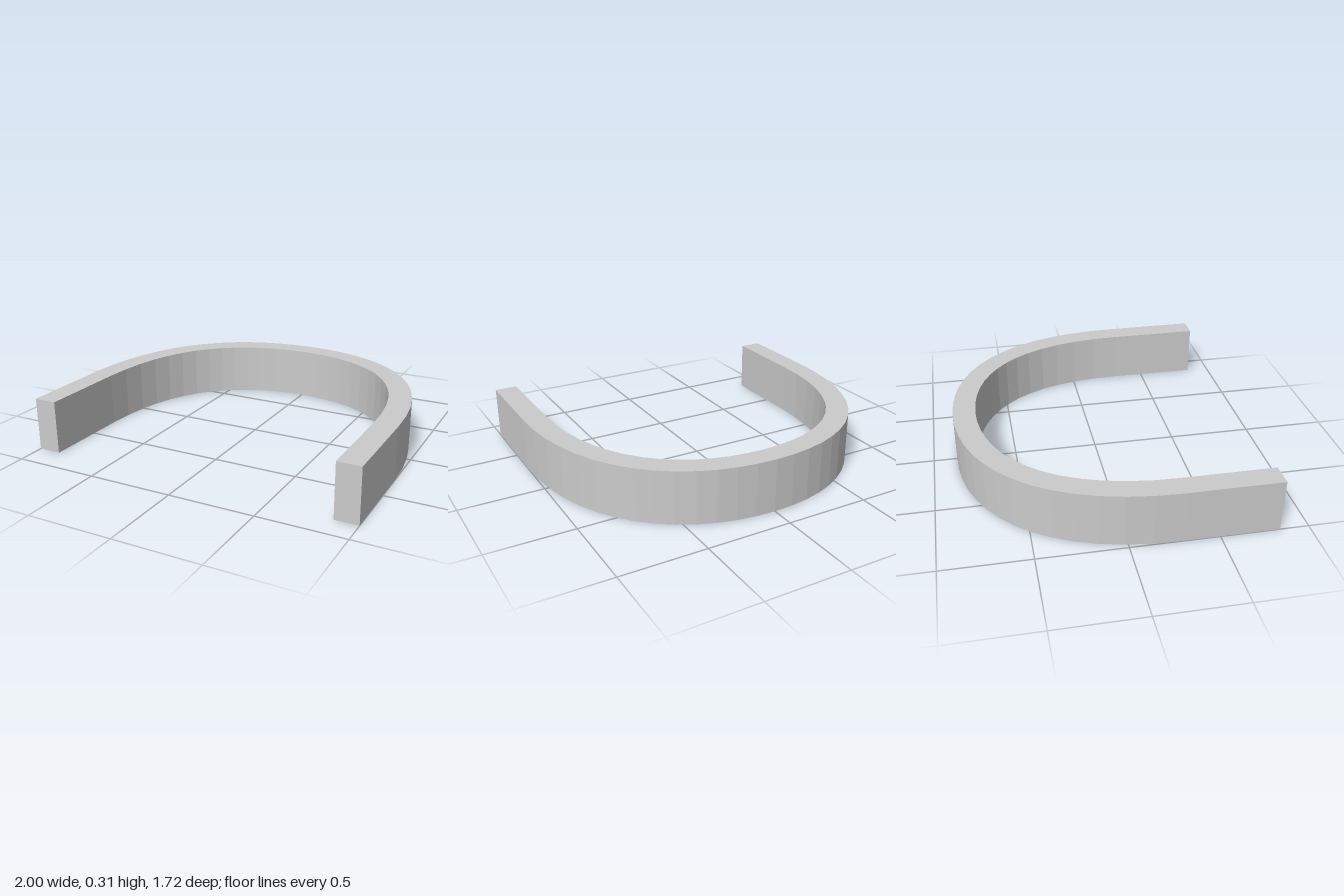
import * as THREE from 'three';

const HEIGHT = 0.315, WIDTH = 0.135, SEGMENTS = 14;
const LEFT_END = 0.855, RIGHT_END = 0.835;

export function createModel() {
  const group = new THREE.Group();
  group.name = 'archBand';

  // One half of the outer curve, from the straight leg to the crown (plan: x, -z)
  const half = new THREE.CubicBezierCurve(
    new THREE.Vector2(-1, -0.3), new THREE.Vector2(-1, 0.5),
    new THREE.Vector2(-0.55, 0.86), new THREE.Vector2(0, 0.86));

  const outer = [new THREE.Vector2(-1, -RIGHT_END)];
  const inner = [new THREE.Vector2(-1 + WIDTH, -RIGHT_END)];
  const addPair = (t, side) => {
    const p = half.getPoint(t), d = half.getTangent(t);
    outer.push(new THREE.Vector2(p.x * side, p.y));
    inner.push(new THREE.Vector2((p.x + d.y * WIDTH) * side, p.y - d.x * WIDTH));
  };
  for (let i = 0; i <= SEGMENTS; i++) addPair(i / SEGMENTS, 1);
  for (let i = SEGMENTS - 1; i >= 0; i--) addPair(i / SEGMENTS, -1);
  outer.push(new THREE.Vector2(1, -LEFT_END));
  inner.push(new THREE.Vector2(1 - WIDTH, -LEFT_END));

  // Flat horseshoe plan raised to the band height
  const plan = new THREE.Shape([...outer, ...inner.reverse()]);
  const geometry = new THREE.ExtrudeGeometry(plan, { depth: HEIGHT, bevelEnabled: false });
  geometry.rotateX(-Math.PI / 2);

  const band = new THREE.Mesh(geometry,
    new THREE.MeshStandardMaterial({ color: 0xcccccc, flatShading: true }));
  band.name = 'curvedBand';
  group.add(band);
  return group;
}
